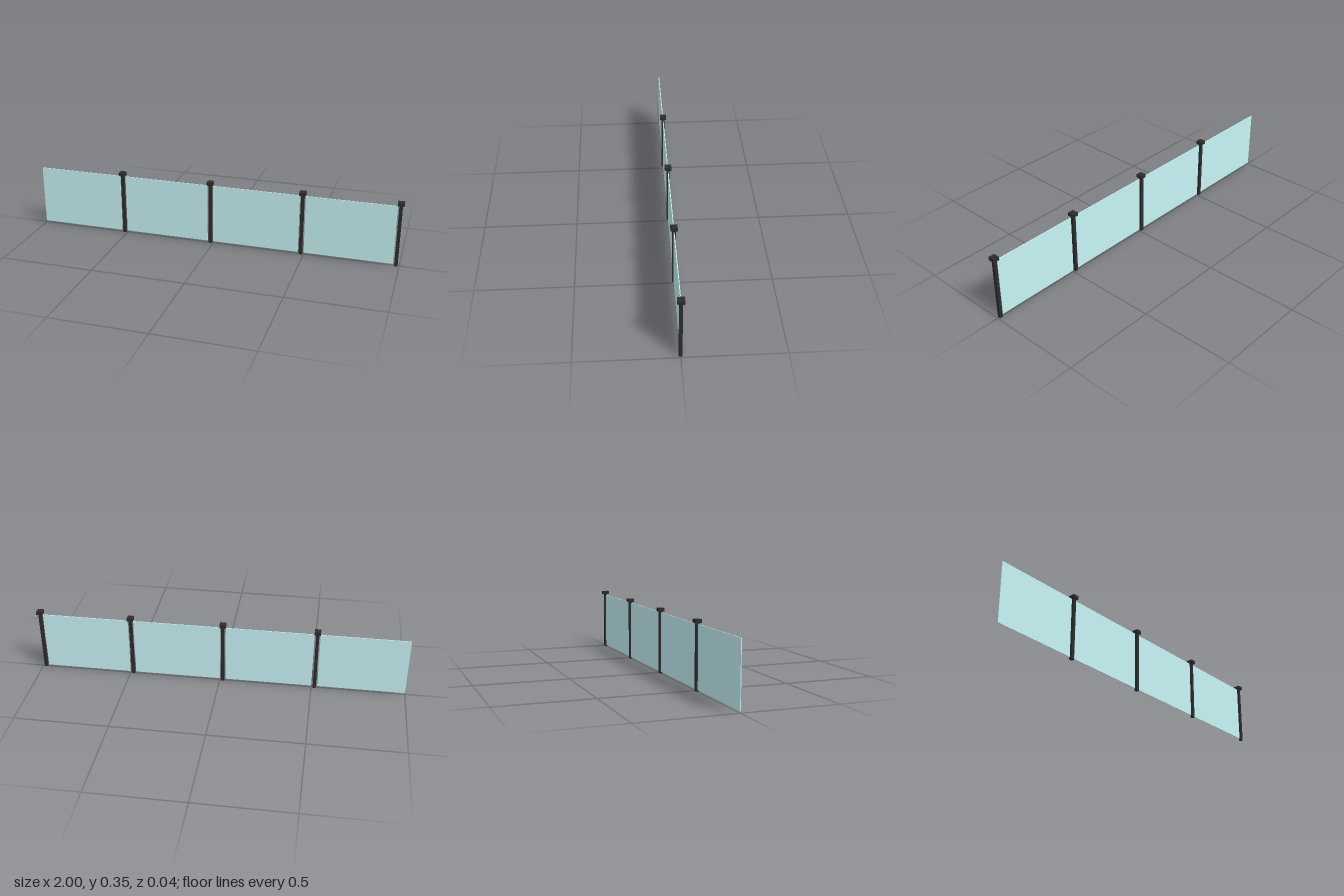
import * as THREE from 'three';

export function createModel() {
  const model = new THREE.Group();
  model.name = 'glassFence';

  const glass = new THREE.MeshStandardMaterial({ color: 0xc8f5f7 });
  const metal = new THREE.MeshStandardMaterial({ color: 0x2d2d2d });

  const pitch = 0.5, capWidth = 0.033, capDepth = 0.035, capHeight = 0.018;
  const postSize = 0.017, postHeight = 0.336;
  const panelWidth = 0.468, panelBottom = 0.009, panelTop = 0.331;

  // box placed by its centre x and its bottom
  function addBox(parent, name, w, h, d, x, bottom, material) {
    const mesh = new THREE.Mesh(new THREE.BoxGeometry(w, h, d), material);
    mesh.name = name;
    mesh.position.set(x, bottom + h / 2, 0);
    parent.add(mesh);
  }

  // each bay: a thin glass panel followed by a capped post
  for (let i = 0; i < 4; i++) {
    const bay = new THREE.Group();
    bay.name = `fenceBay${i + 1}`;
    bay.position.x = -1 + i * pitch;
    const postX = pitch - capWidth / 2;
    addBox(bay, 'glassPanel', panelWidth, panelTop - panelBottom, 0.004, panelWidth / 2, panelBottom, glass);
    addBox(bay, 'post', postSize, postHeight, postSize, postX, 0, metal);
    addBox(bay, 'postCap', capWidth, capHeight, capDepth, postX, postHeight, metal);
    model.add(bay);
  }
  return model;
}
